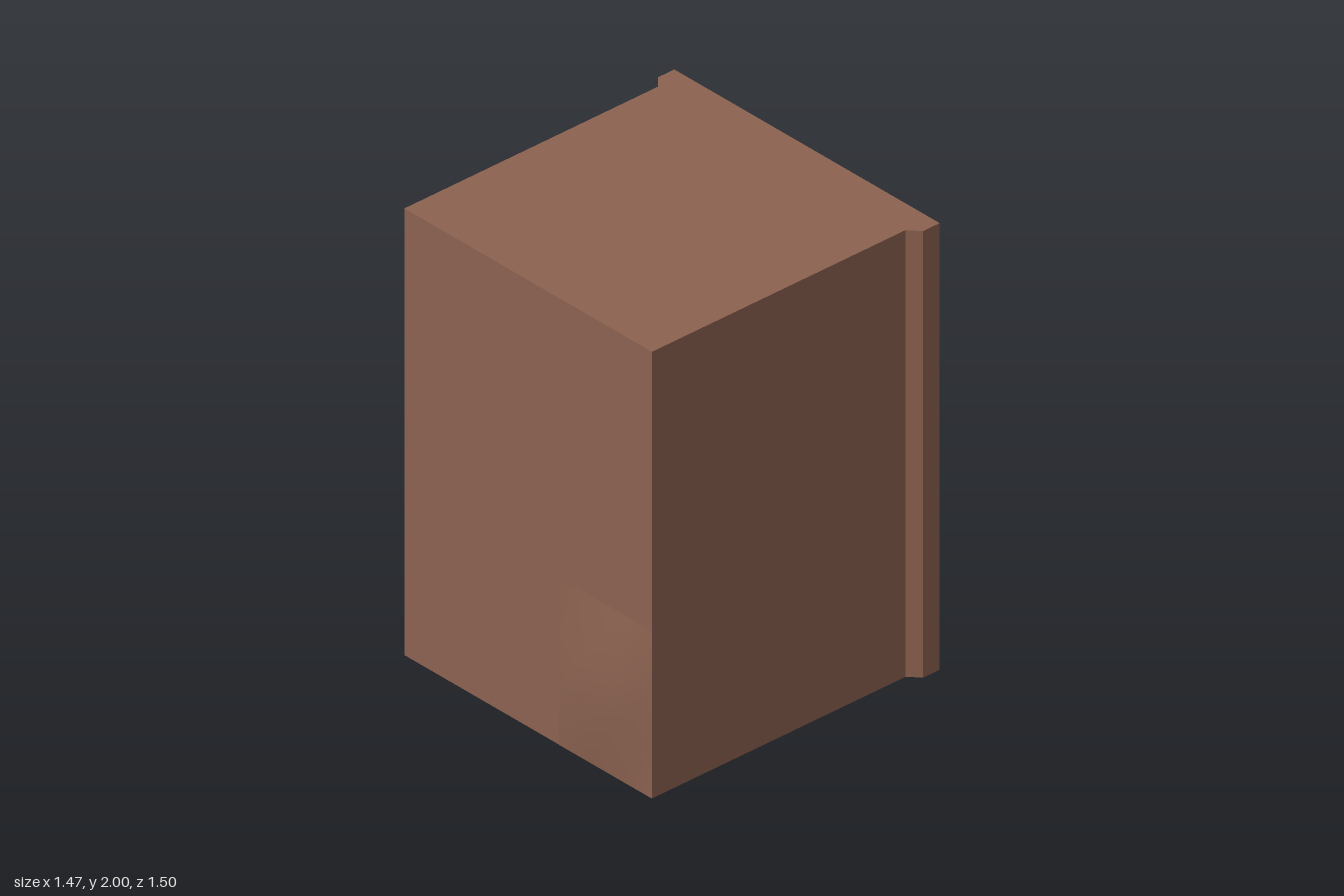
import * as THREE from 'three';

const paint = (name, color) => {
  const m = new THREE.MeshStandardMaterial({ color });
  m.name = name;
  return m;
};

export function createModel() {
  const house = new THREE.Group();
  house.name = 'house';
  const brick = paint('brick brown', 0x8b6250);
  const glass = paint('window blue', 0x4a7182);
  const wood = paint('door wood', 0x855430);
  const bronze = paint('knob bronze', 0x5c3c28);

  const add = (name, geometry, material) => {
    const mesh = new THREE.Mesh(geometry, material);
    mesh.name = name;
    house.add(mesh);
    return mesh;
  };

  // Depths of the facade, which faces +x
  const FRONT = 0.73, WALL = 0.68, FRAME = 0.712, PANE = 0.676;

  // Floor slabs: the house plan extruded upward, with or without the recessed wall
  const plan = (recessed) => {
    const half = [[-0.705, 0.7], [0.6, 0.7], [0.645, 0.75], [FRONT, 0.75]];
    if (recessed) half.push([FRONT, 0.665], [WALL, 0.61]);
    const mirrored = half.map(([x, z]) => [x, -z]).reverse();
    return new THREE.Shape([...half, ...mirrored].map(([x, z]) => new THREE.Vector2(x, -z)));
  };
  const slab = (name, y0, y1, recessed) => {
    const g = new THREE.ExtrudeGeometry(plan(recessed), { depth: y1 - y0, bevelEnabled: false });
    g.rotateX(-Math.PI / 2).translate(0, y0, 0);
    add(name, g, brick);
  };
  slab('groundFloor', 0, 1.07, true);
  slab('middleBand', 1.07, 1.19, false);
  slab('upperFloor', 1.19, 1.94, true);
  slab('topBand', 1.94, 2, false);

  // Sloping lintel under the top band
  const wedge = new THREE.Shape([
    new THREE.Vector2(WALL - 0.01, 1.88), new THREE.Vector2(WALL, 1.88),
    new THREE.Vector2(FRONT, 1.94), new THREE.Vector2(WALL - 0.01, 1.94),
  ]);
  const lintel = new THREE.ExtrudeGeometry(wedge, { depth: 1.33, bevelEnabled: false });
  add('lintel', lintel.translate(0, 0, -0.665), brick);

  // Shallow bulge low on the rear wall
  const bulge = new THREE.PlaneGeometry(0.525, 0.75, 3, 3);
  const p = bulge.attributes.position;
  for (let i = 0; i < p.count; i++) {
    if (Math.abs(p.getX(i)) < 0.2 && Math.abs(p.getY(i)) < 0.3) p.setZ(i, 0.034);
  }
  bulge.computeVertexNormals();
  bulge.rotateY(-Math.PI / 2).translate(-0.706, 0.375, 0.4375);
  add('rearBulge', bulge, brick);

  // Openings: a raised frame with a set-back pane; boxes are [z0, z1, y0, y1]
  const corners = ([z0, z1, y0, y1]) =>
    [[-z1, y0], [-z0, y0], [-z0, y1], [-z1, y1]].map(([x, y]) => new THREE.Vector2(x, y));
  const opening = (name, outer, inner, material) => {
    const shape = new THREE.Shape(corners(outer));
    shape.holes.push(new THREE.Path(corners(inner)));
    const frame = new THREE.ExtrudeGeometry(shape, { depth: FRAME - WALL + 0.005, bevelEnabled: false });
    frame.rotateY(Math.PI / 2).translate(WALL - 0.005, 0, 0);
    add(name + 'Frame', frame, brick);
    const [z0, z1, y0, y1] = inner;
    const pane = new THREE.BoxGeometry(0.008, y1 - y0, z1 - z0);
    add(name + 'Pane', pane, material).position.set(PANE + 0.002, (y0 + y1) / 2, (z0 + z1) / 2);
  };
  opening('upperLeftWindow', [0.178, 0.525, 1.25, 1.752], [0.215, 0.487, 1.31, 1.693], glass);
  opening('upperRightWindow', [-0.523, -0.176, 1.25, 1.752], [-0.487, -0.205, 1.302, 1.705], glass);
  opening('lowerWindow', [0.178, 0.525, 0.5, 1.0], [0.215, 0.487, 0.555, 0.947], glass);
  opening('door', [-0.523, -0.176, 0, 0.75], [-0.487, -0.205, 0.05, 0.702], wood);

  // Door knob on a short stem
  const knob = add('doorKnob', new THREE.SphereGeometry(0.025, 12, 8), bronze);
  knob.position.set(0.705, 0.44, -0.458);
  const stem = add('knobStem', new THREE.CylinderGeometry(0.01, 0.01, 0.03, 10), bronze);
  stem.rotation.z = Math.PI / 2;
  stem.position.set(0.69, 0.44, -0.458);

  return house;
}
